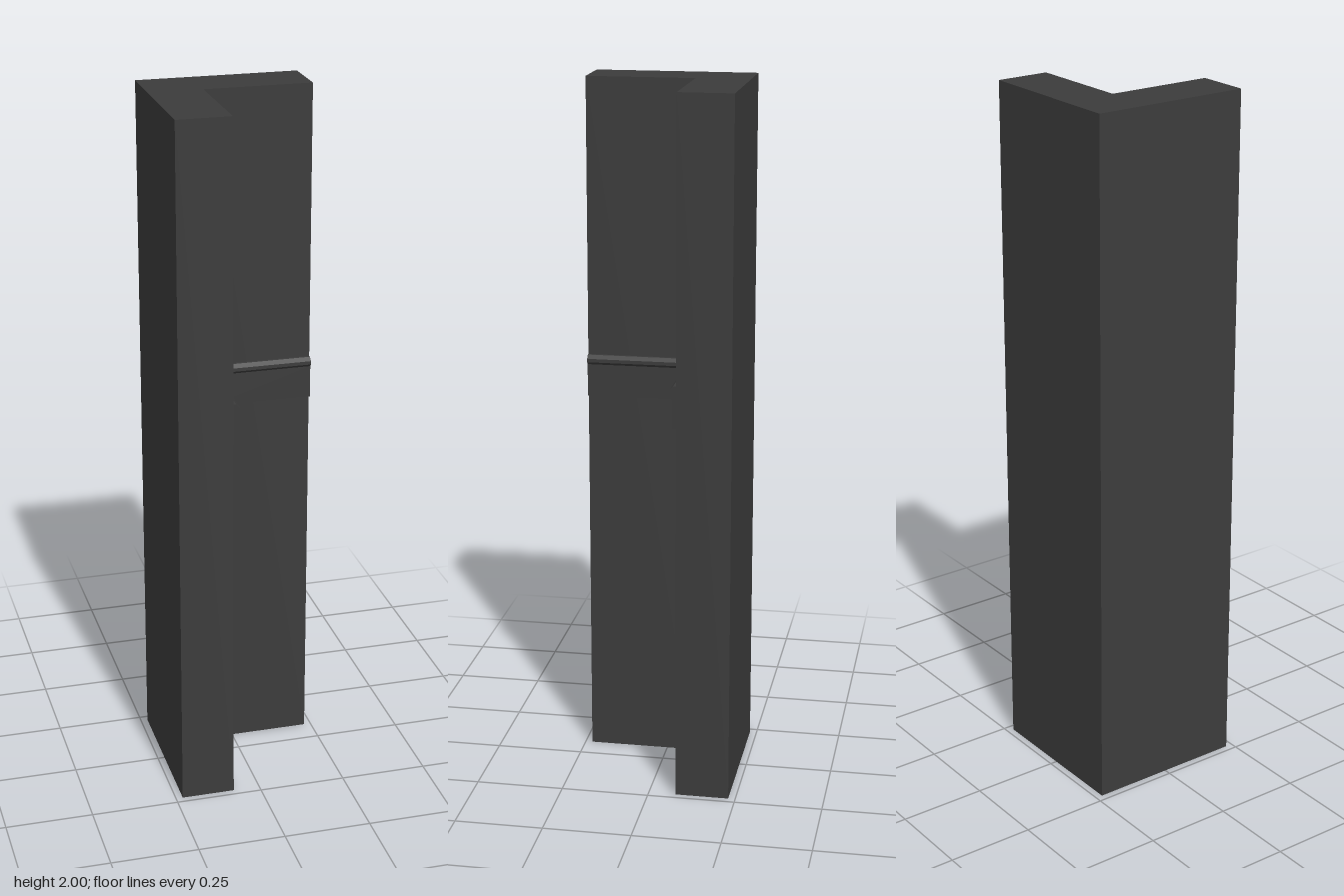
import * as THREE from 'three';

const HALF = 0.23;   // half width of the post
const WALL = -0.077; // position of the two inner walls

export function createModel() {
  const group = new THREE.Group();
  group.name = 'cornerPost';
  const material = new THREE.MeshStandardMaterial({ color: 0x3c3c3c });

  const add = (name, geometry) => {
    const mesh = new THREE.Mesh(geometry, material);
    mesh.name = name;
    group.add(mesh);
  };
  const shapeOf = (points) => new THREE.Shape(points.map(([x, y]) => new THREE.Vector2(x, y)));

  // L-shaped post, extruded upwards (shape y is -z)
  const post = new THREE.ExtrudeGeometry(shapeOf([
    [-HALF, -HALF], [WALL, -HALF], [WALL, -WALL],
    [HALF, -WALL], [HALF, HALF], [-HALF, HALF],
  ]), { depth: 2, bevelEnabled: false });
  post.rotateX(-Math.PI / 2);
  add('post', post);

  // Rail profile: distance out from the wall, height
  const profile = shapeOf([
    [0, 1.09], [0.012, 1.09], [0.012, 1.183], [0.018, 1.19], [0.018, 1.2], [0.008, 1.21], [0, 1.21],
  ]);

  // Rail along one inner wall, mitred at the corner
  const rail = (alongX) => {
    const geometry = new THREE.ExtrudeGeometry(profile, { depth: 1, bevelEnabled: false });
    const p = geometry.attributes.position;
    for (let i = 0; i < p.count; i++) {
      const out = WALL + p.getX(i);
      const start = p.getZ(i) < 0.5;
      if (alongX) p.setXYZ(i, start ? HALF : out, p.getY(i), out);
      else p.setXYZ(i, out, p.getY(i), start ? out : HALF);
    }
    geometry.computeVertexNormals();
    return geometry;
  };
  add('backWallRail', rail(true));
  add('sideWallRail', rail(false));

  return group;
}
